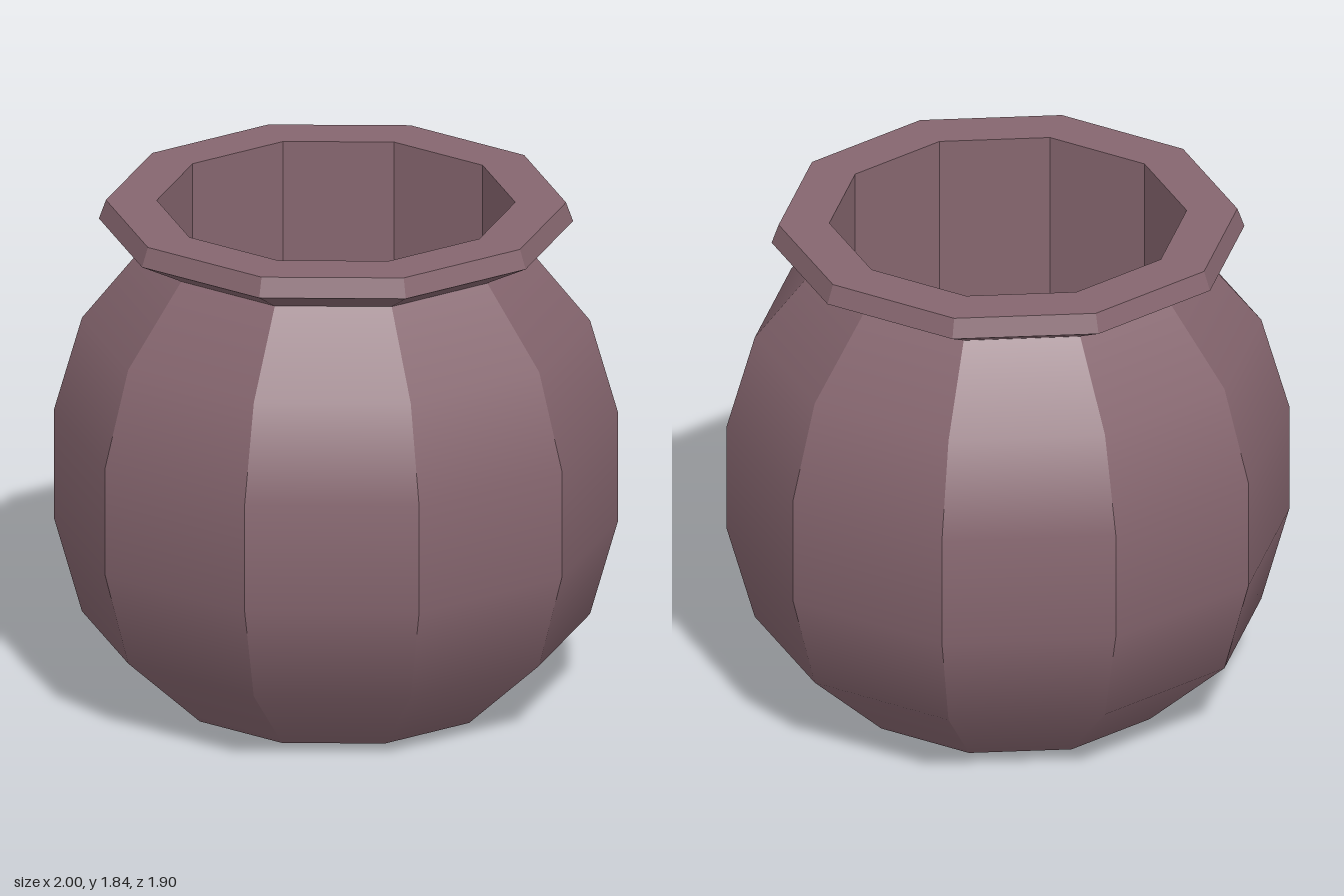
import * as THREE from 'three';

const SIDES = 10;
const STEP = (Math.PI * 2) / SIDES;
const START = STEP / 2; // a flat panel faces the front

// Ten-sided lathe: hard edges between panels, optionally smooth along the profile.
function facetedLathe(profile, smoothProfile) {
  const points = profile.map(([r, y]) => new THREE.Vector2(r, y));
  const geometry = new THREE.LatheGeometry(points, SIDES, START, Math.PI * 2).toNonIndexed();
  if (!smoothProfile) {
    geometry.computeVertexNormals();
    return geometry;
  }
  const pos = geometry.attributes.position;
  const nor = geometry.attributes.normal;
  for (let i = 0; i < pos.count; i += 3) {
    let x = 0, z = 0;
    for (let k = i; k < i + 3; k++) { x += pos.getX(k); z += pos.getZ(k); }
    // Turn each normal to the middle direction of its panel
    const mid = Math.round(Math.atan2(x, z) / STEP) * STEP;
    for (let k = i; k < i + 3; k++) {
      const radial = Math.hypot(nor.getX(k), nor.getZ(k));
      nor.setXYZ(k, Math.sin(mid) * radial, nor.getY(k), Math.cos(mid) * radial);
    }
  }
  return geometry;
}

export function createModel() {
  const group = new THREE.Group();
  group.name = 'pot';
  const clay = new THREE.MeshStandardMaterial({ color: 0x86666f });
  clay.name = 'mauve clay';

  const add = (name, profile, smooth = false) => {
    const mesh = new THREE.Mesh(facetedLathe(profile, smooth), clay);
    mesh.name = name;
    group.add(mesh);
  };

  // Flat underside
  add('base', [[0, 0], [0.59, 0]]);
  // Rounded belly
  add('body', [[0.59, 0], [0.9, 0.285], [1, 0.64], [1, 1.045], [0.9, 1.395], [0.67, 1.68]], true);
  // Flared lip with its flat top
  add('rim', [[0.67, 1.68], [0.84, 1.77], [0.815, 1.84], [0.635, 1.84]]);
  // Straight inner wall and floor
  add('interior', [[0.635, 1.84], [0.635, 0.2], [0, 0.2]]);

  return group;
}
